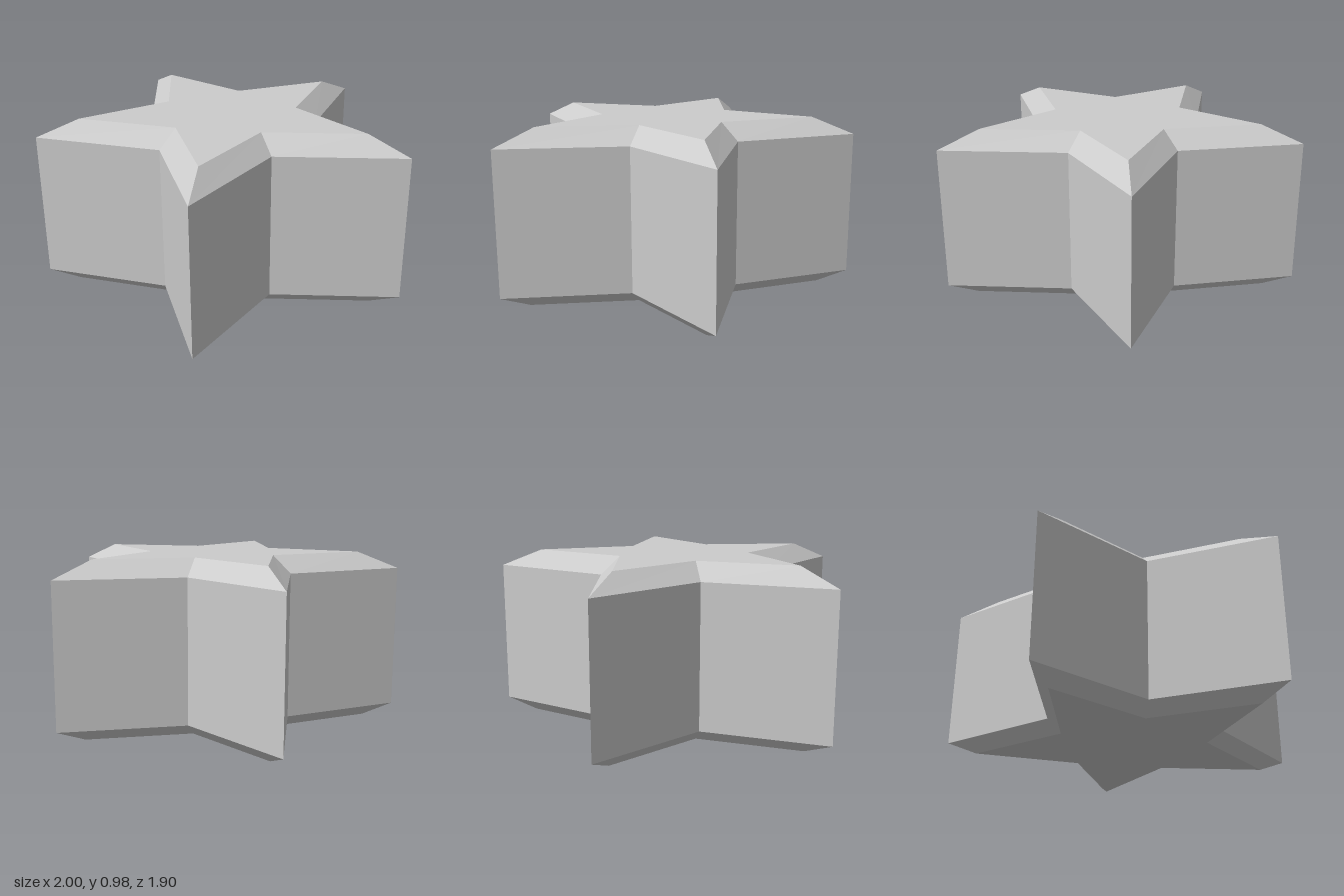
import * as THREE from 'three';

// Star cross-sections from bottom to top: height, tip radius, notch radius
const SECTIONS = [
  [0, 0.88, 0.42],
  [0.07, 1.0515, 0.5],
  [0.885, 1.0515, 0.5],
  [0.98, 0.815, 0.385],
];
const CENTRE_Z = 0.1; // the five-pointed outline is centred by its bounds

// Corner k of a star section; even corners are tips, odd ones notches
function corner([y, tip, notch], k) {
  const a = (k * Math.PI) / 5;
  const r = k % 2 ? notch : tip;
  return [r * Math.sin(a), y, CENTRE_Z - r * Math.cos(a)];
}

function starGeometry() {
  const pos = [];
  const tri = (a, b, c) => pos.push(...a, ...b, ...c);
  const bottom = SECTIONS[0];
  const top = SECTIONS[SECTIONS.length - 1];
  for (let k = 0; k < 10; k++) {
    // walls and bevels
    for (let i = 0; i < SECTIONS.length - 1; i++) {
      const a = corner(SECTIONS[i], k + 1);
      const b = corner(SECTIONS[i], k);
      const c = corner(SECTIONS[i + 1], k);
      const d = corner(SECTIONS[i + 1], k + 1);
      tri(a, b, c);
      tri(a, c, d);
    }
    // flat caps
    tri([0, top[0], CENTRE_Z], corner(top, k + 1), corner(top, k));
    tri([0, bottom[0], CENTRE_Z], corner(bottom, k), corner(bottom, k + 1));
  }
  const geometry = new THREE.BufferGeometry();
  geometry.setAttribute('position', new THREE.Float32BufferAttribute(pos, 3));
  geometry.computeVertexNormals();
  return geometry;
}

export function createModel() {
  const group = new THREE.Group();
  group.name = 'star';
  const material = new THREE.MeshStandardMaterial({ color: 0xcccccc, flatShading: true });
  const body = new THREE.Mesh(starGeometry(), material);
  body.name = 'bevelledStarBody';
  group.add(body);
  return group;
}
